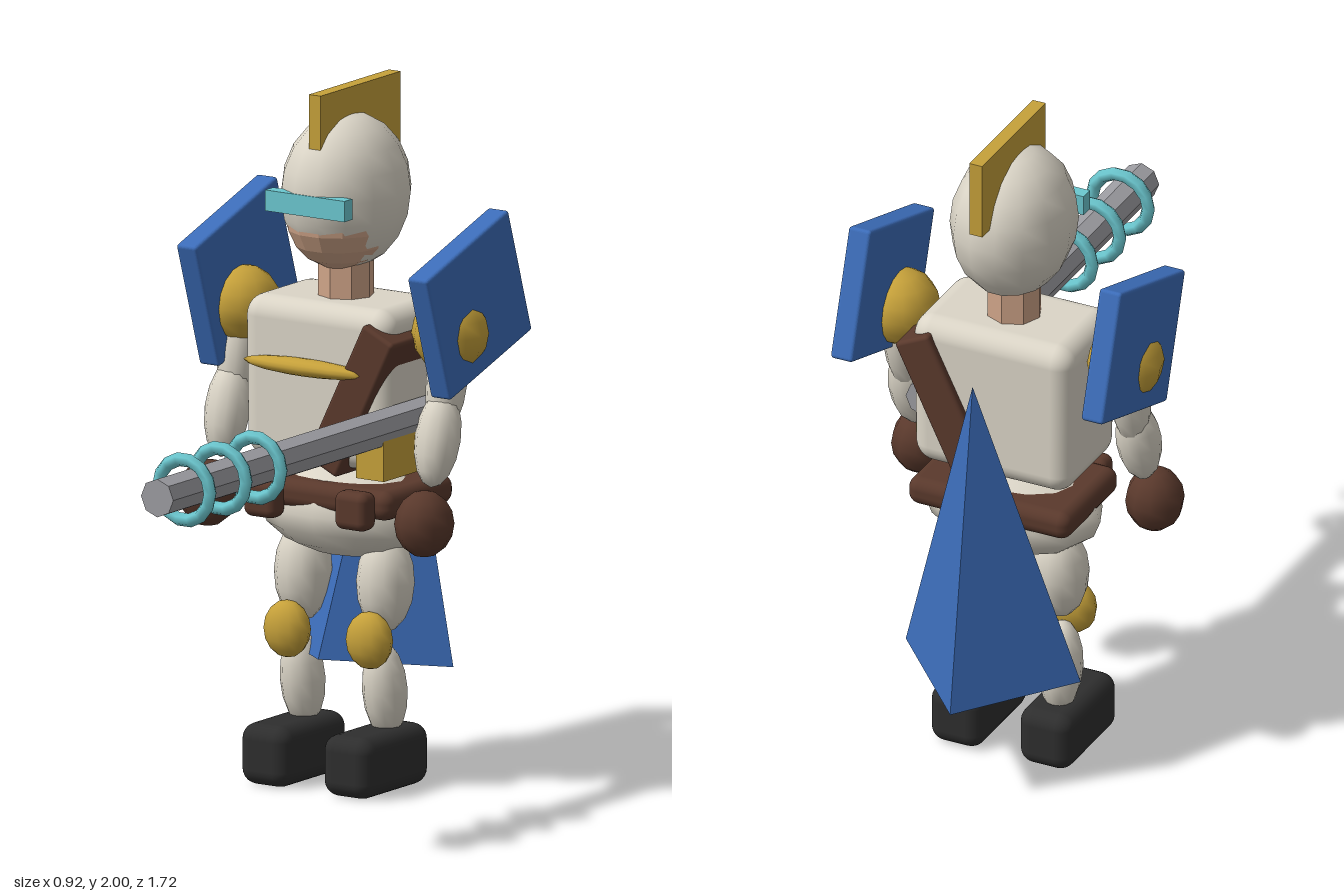
import * as THREE from 'three';
import { RoundedBoxGeometry } from 'three/addons/geometries/RoundedBoxGeometry.js';

const mat = (name, color, flatShading = false) => {
  const m = new THREE.MeshStandardMaterial({ color, flatShading });
  m.name = name;
  return m;
};

export function createModel() {
  const white = mat('ivory armour', 0xdbd5c7);
  const gold = mat('gold trim', 0xc6a13a);
  const brown = mat('brown leather', 0x5a392c);
  const blue = mat('blue cloth', 0x3c6dba);
  const cyan = mat('cyan glow', 0x6cc8d0);
  const steel = mat('grey steel', 0x9d9da2);
  const dark = mat('dark rubber', 0x2e2e2e);
  const skin = mat('skin', 0xcfa488);
  steel.flatShading = skin.flatShading = blue.flatShading = true;

  const model = new THREE.Group();
  model.name = 'cannonKnight';

  const add = (name, geo, material, [x, y, z], rx = 0, rz = 0) => {
    const mesh = new THREE.Mesh(geo, material);
    mesh.name = name;
    mesh.position.set(x, y, z);
    mesh.rotation.set(rx, 0, rz);
    model.add(mesh);
    return mesh;
  };
  const ball = (name, material, pos, [a, b, c], rx = 0, w = 12, h = 8) =>
    add(name, new THREE.SphereGeometry(1, w, h).scale(a, b, c), material, pos, rx);
  const box = (name, material, pos, size, rx = 0, rz = 0) =>
    add(name, new THREE.BoxGeometry(...size), material, pos, rx, rz);
  const softBox = (name, material, pos, size, r, rx = 0, rz = 0) =>
    add(name, new RoundedBoxGeometry(...size, 3, r), material, pos, rx, rz);

  // Head
  ball('helmet', white, [0, 1.7, -0.457], [0.175, 0.225, 0.212], 0, 14, 10);
  ball('face', skin, [0, 1.65, -0.43], [0.155, 0.17, 0.17], 0, 14, 10);
  box('visor', cyan, [0, 1.69, -0.27], [0.27, 0.06, 0.04]);
  box('crest', gold, [0, 1.885, -0.5], [0.04, 0.23, 0.4]);
  add('neck', new THREE.CylinderGeometry(0.08, 0.08, 0.16, 8), skin, [0, 1.43, -0.457]);

  // Torso, narrowing slightly towards the hips and the neck
  const torso = new RoundedBoxGeometry(0.52, 0.47, 0.34, 4, 0.06);
  const p = torso.attributes.position;
  for (let i = 0; i < p.count; i++) {
    const t = p.getY(i) / 0.235;
    const k = t < 0 ? 1 + 0.06 * t : 1 - 0.04 * t;
    p.setX(i, p.getX(i) * k);
    p.setZ(i, p.getZ(i) * k);
  }
  add('torso', torso, white, [0, 1.165, -0.457]);
  ball('chestTrim', gold, [-0.02, 1.217, -0.28], [0.21, 0.025, 0.035]);
  softBox('shoulderStrap', brown, [0.137, 1.14, -0.457], [0.115, 0.45, 0.375], 0.012, 0, -0.45);

  // Hips and belt
  ball('pelvis', white, [0, 0.785, -0.46], [0.272, 0.135, 0.175]);
  softBox('belt', brown, [0, 0.84, -0.465], [0.51, 0.085, 0.34], 0.035);

  // Mirrored limbs and armour
  for (const [side, s] of [['left', 1], ['right', -1]]) {
    softBox(side + 'Pouch', brown, [s * 0.155, 0.828, -0.275], [0.11, 0.11, 0.07], 0.025);
    ball(side + 'Shoulder', gold, [s * 0.352, 1.33, -0.46], [0.108, 0.11, 0.115], 0, 12, 8);
    softBox(side + 'ShoulderPlate', blue, [s * 0.394, 1.412, -0.497], [0.07, 0.385, 0.43], 0.01, 0.314);
    ball(side + 'UpperArm', white, [s * 0.355, 1.2, -0.44], [0.058, 0.16, 0.062], -0.2);
    ball(side + 'Forearm', white, [s * 0.358, 1.04, -0.39], [0.065, 0.14, 0.065], -0.25);
    ball(side + 'Glove', brown, [s * 0.368, 0.81, -0.308], [0.084, 0.096, 0.087], 0, 10, 8);
    ball(side + 'Thigh', white, [s * 0.14, 0.59, -0.448], [0.083, 0.145, 0.083], -0.05);
    ball(side + 'Knee', gold, [s * 0.14, 0.435, -0.368], [0.073, 0.083, 0.052]);
    ball(side + 'Shin', white, [s * 0.14, 0.28, -0.445], [0.064, 0.14, 0.066], 0.1);
    softBox(side + 'Boot', dark, [s * 0.14, 0.088, -0.4], [0.165, 0.176, 0.33], 0.045);
  }

  // Cape: a leaning four-sided cone
  add('cape', new THREE.ConeGeometry(0.275, 0.964, 4), blue, [0, 0.812, -0.655], -0.136);

  // Arm cannon with glowing rings and grip
  add('cannonBarrel', new THREE.CylinderGeometry(0.055, 0.055, 1.38, 8), steel,
    [0.255, 1.08, 0.17], Math.PI / 2);
  for (const z of [0.725, 0.545, 0.37])
    add('cannonRing', new THREE.TorusGeometry(0.088, 0.02, 6, 14), cyan, [0.255, 1.08, z]);
  box('cannonGrip', gold, [0.253, 0.998, -0.34], [0.094, 0.116, 0.27]);

  return model;
}
